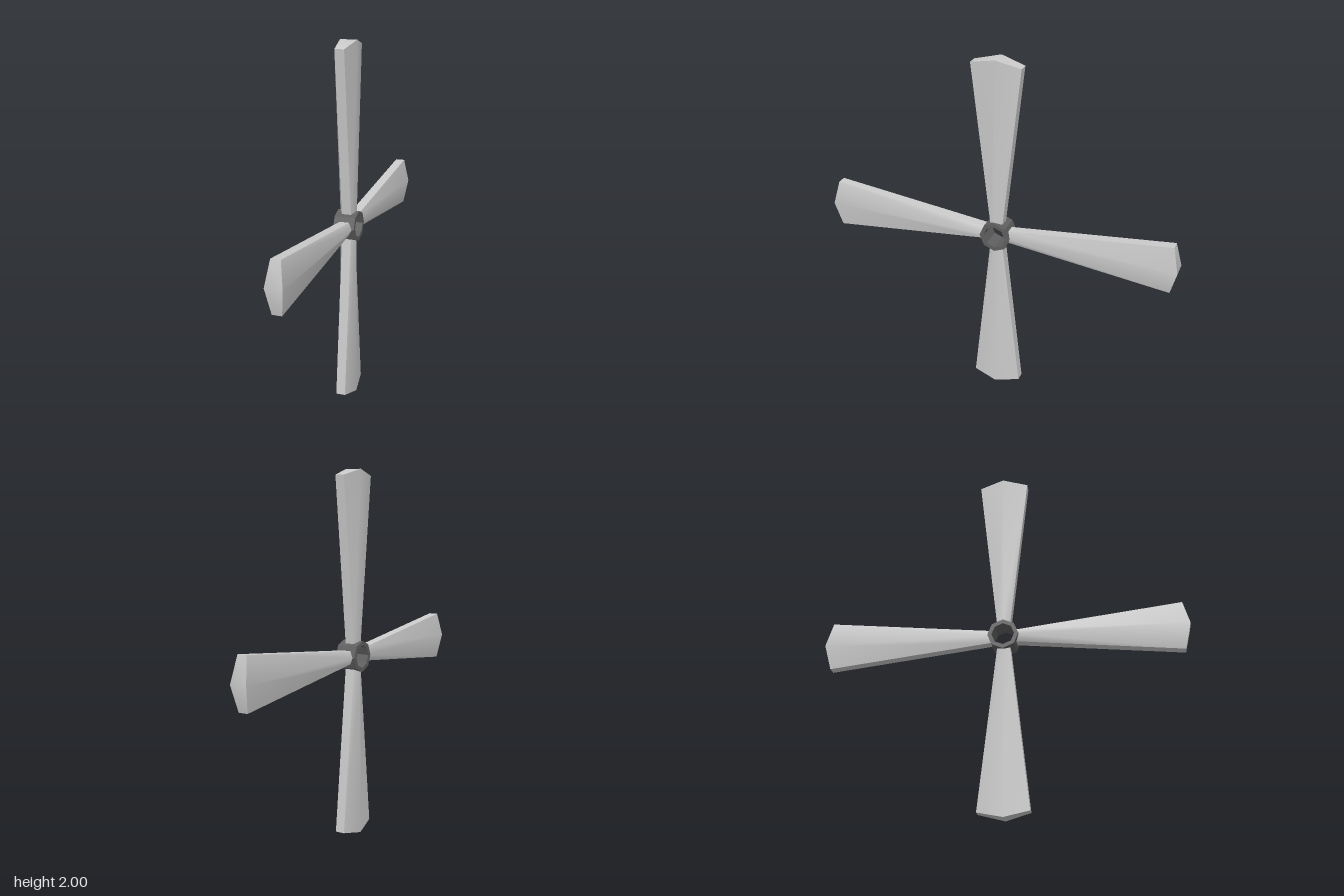
import * as THREE from 'three';
import { mergeGeometries } from 'three/addons/utils/BufferGeometryUtils.js';

// Surface between two rows of points, smooth within itself
function strip(a, b) {
  const n = a.length, index = [];
  for (let i = 0; i < n - 1; i++) index.push(i, i + 1, n + i + 1, i, n + i + 1, n + i);
  const g = new THREE.BufferGeometry();
  g.setAttribute('position', new THREE.Float32BufferAttribute([...a, ...b].flat(), 3));
  g.setIndex(index);
  g.computeVertexNormals();
  return g;
}

// Six-sided blade section: thin edges and a thicker central ridge
function section(edgeY, ridgeY, wLead, wTrail) {
  const t = 0.026, m = 0.047;
  return [
    [t, edgeY, wLead], [m, ridgeY, 0], [t, edgeY, -wTrail],
    [-t, edgeY, -wTrail], [-m, ridgeY, 0], [-t, edgeY, wLead],
  ];
}

function bladeGeometry() {
  const r = section(0.07, 0.07, 0.036, 0.036);
  const e = section(0.967, 1, 0.14, 0.134);
  const side = (...ids) => strip(ids.map(i => r[i]), ids.map(i => e[i]));
  return mergeGeometries([
    side(0, 1, 2),                                     // +x face
    side(2, 3),                                        // trailing edge
    side(3, 4, 5),                                     // -x face
    side(5, 0),                                        // leading edge
    strip([e[0], e[1], e[2]], [e[5], e[4], e[3]]),     // pointed tip
    strip([r[5], r[4], r[3]], [r[0], r[1], r[2]]),     // root
  ]);
}

function octagon(radius) {
  return Array.from({ length: 8 }, (_, i) => {
    const a = i * Math.PI / 4;
    return new THREE.Vector2(Math.cos(a) * radius, Math.sin(a) * radius);
  });
}

export function createModel() {
  const model = new THREE.Group();
  model.name = 'propeller';
  const rotor = new THREE.Group();
  rotor.name = 'rotor';
  rotor.position.y = 1;
  model.add(rotor);

  // Octagonal hub ring, axis along x
  const shape = new THREE.Shape(octagon(0.085));
  shape.holes.push(new THREE.Path(octagon(0.062)));
  const hubGeo = new THREE.ExtrudeGeometry(shape, { depth: 0.118, bevelEnabled: false });
  hubGeo.translate(0, 0, -0.059).rotateY(Math.PI / 2);
  const hub = new THREE.Mesh(hubGeo, new THREE.MeshStandardMaterial({ color: 0x606060, flatShading: true }));
  hub.name = 'hub';
  rotor.add(hub);

  // Four identical blades around the hub
  const geo = bladeGeometry();
  const grey = new THREE.MeshStandardMaterial({ color: 0xcccccc });
  for (let i = 0; i < 4; i++) {
    const blade = new THREE.Mesh(geo, grey);
    blade.name = `blade${i + 1}`;
    blade.rotation.x = i * Math.PI / 2;
    rotor.add(blade);
  }
  return model;
}
